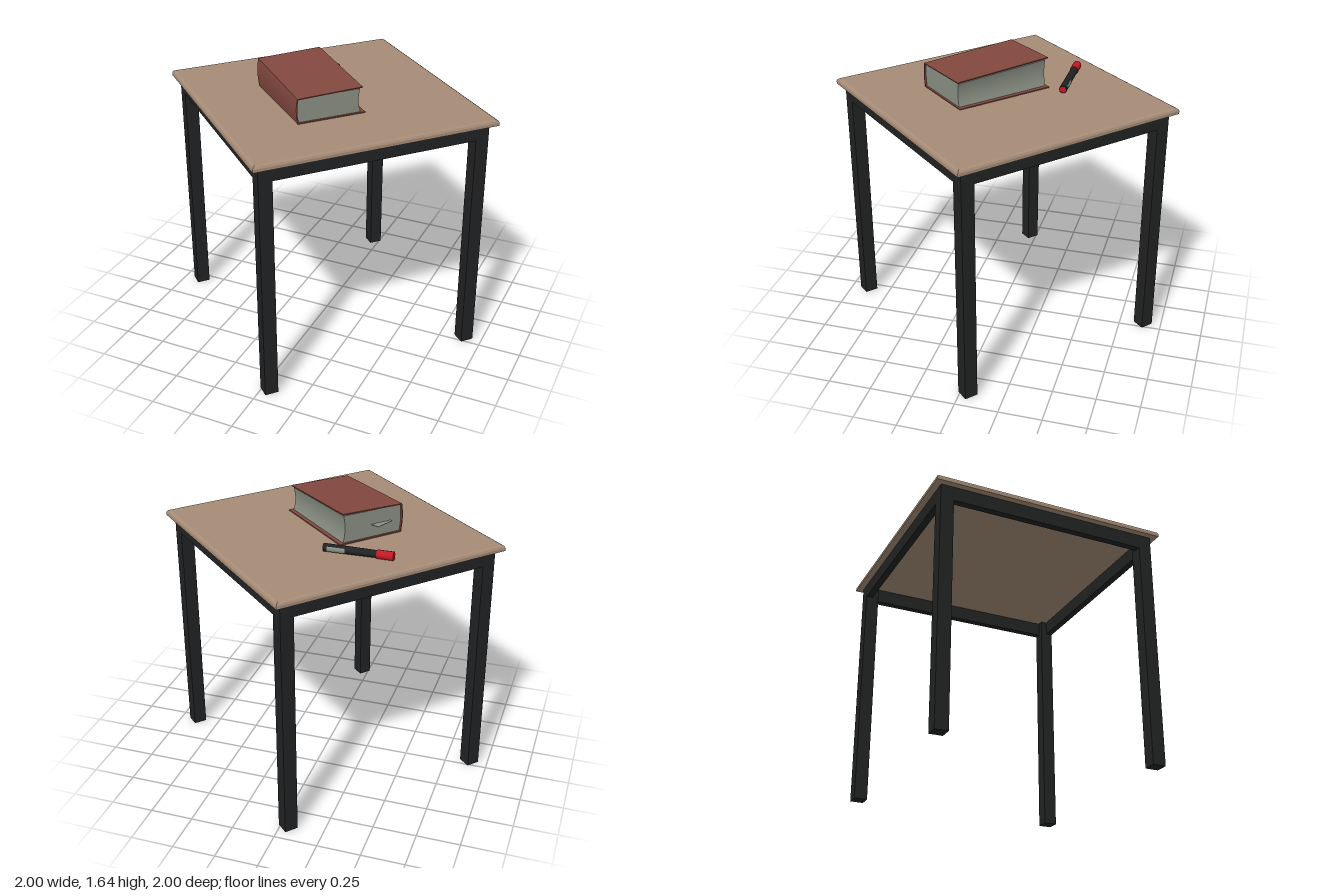
import * as THREE from 'three';
import { toCreasedNormals } from 'three/addons/utils/BufferGeometryUtils.js';

const mat = (name, color) => {
  const m = new THREE.MeshStandardMaterial({ color });
  m.name = name;
  return m;
};

export function createModel() {
  const wood = mat('wood', 0xa68c77);
  const black = mat('black', 0x212223);
  const leather = mat('red cover', 0x82483f);
  const paper = mat('paper', 0x8a9084);
  const red = mat('bright red', 0xc41a26);

  const add = (parent, name, geo, material, x = 0, y = 0, z = 0) => {
    const mesh = new THREE.Mesh(geo, material);
    mesh.name = name;
    mesh.position.set(x, y, z);
    parent.add(mesh);
    return mesh;
  };
  const group = (parent, name) => {
    const g = new THREE.Group();
    g.name = name;
    parent.add(g);
    return g;
  };

  const model = new THREE.Group();
  model.name = 'deskWithBook';

  // Table top: four-sided lathe with a softened upper edge
  const profile = [[0, 1.425], [1, 1.425], [1, 1.443], [0.992, 1.454], [0.976, 1.46], [0, 1.46]];
  const topGeo = new THREE.LatheGeometry(profile.map(([r, y]) => new THREE.Vector2(r, y)), 4);
  add(model, 'tableTop', toCreasedNormals(topGeo, 0.2), wood).rotation.y = 0.05;

  // Frame: four square legs joined by four rails
  const frame = group(model, 'frame');
  frame.rotation.y = -0.7355;
  const c = 0.63, s = 0.078, rail = 0.04;
  for (const x of [-c, c])
    for (const z of [-c, c])
      add(frame, 'leg', new THREE.BoxGeometry(s, 1.425, s), black, x, 0.7125, z);
  for (const side of [-1, 1]) {
    const off = side * (c + s / 2 - rail / 2), len = 2 * c - s;
    add(frame, 'rail', new THREE.BoxGeometry(len, 0.085, rail), black, 0, 1.3825, off);
    add(frame, 'rail', new THREE.BoxGeometry(rail, 0.085, len), black, off, 1.3825, 0);
  }

  // Book: cross-sections run from spine (-x) to fore-edge (+x), length along z
  const book = group(model, 'book');
  book.position.set(-0.055, 1.46, 0.11);
  book.rotation.y = 0.835;
  const bookPart = (name, shape, length, material) => {
    const geo = new THREE.ExtrudeGeometry(shape, { depth: length, bevelEnabled: false, curveSegments: 8 });
    geo.translate(0, 0, -length / 2);
    // The upper part sinks towards one end
    const p = geo.attributes.position;
    for (let i = 0; i < p.count; i++) p.setY(i, p.getY(i) * (1 - 0.26 * p.getZ(i)));
    return add(book, name, toCreasedNormals(geo, 0.5), material);
  };

  const cover = new THREE.Shape();
  cover.moveTo(0.203, 0);
  cover.lineTo(-0.194, 0);
  cover.quadraticCurveTo(-0.212, 0.078, -0.196, 0.157);
  cover.lineTo(0.185, 0.168);
  cover.lineTo(0.185, 0.162);
  cover.lineTo(-0.190, 0.151);
  cover.quadraticCurveTo(-0.206, 0.078, -0.188, 0.006);
  cover.lineTo(0.203, 0.006);
  bookPart('cover', cover, 0.594, leather);

  const pages = new THREE.Shape();
  pages.moveTo(0.178, 0.006);
  pages.quadraticCurveTo(0.155, 0.078, 0.175, 0.153);
  pages.lineTo(-0.190, 0.149);
  pages.quadraticCurveTo(-0.204, 0.078, -0.188, 0.006);
  bookPart('pages', pages, 0.572, paper);

  // Loose sheet poking out of one end
  const sheet = new THREE.Shape([[-0.13, -0.28], [-0.13, -0.3], [-0.015, -0.335], [0, -0.27]]
    .map(([x, y]) => new THREE.Vector2(x, y)));
  const sheetGeo = new THREE.ExtrudeGeometry(sheet, { depth: 0.003, bevelEnabled: false });
  sheetGeo.rotateX(Math.PI / 2);
  add(book, 'looseSheet', sheetGeo, paper, 0, 0.08, 0);

  // Marker pen lying along x
  const pen = group(model, 'marker');
  pen.position.set(0, 1.485, -0.335);
  const rod = (name, x0, x1, r0, r1, material) => {
    const geo = new THREE.CylinderGeometry(r1, r0, x1 - x0, 12);
    geo.rotateZ(-Math.PI / 2);
    return add(pen, name, toCreasedNormals(geo, 0.7), material, (x0 + x1) / 2, 0, 0);
  };
  rod('cap', -0.468, -0.375, 0.025, 0.025, red);
  rod('barrel', -0.375, -0.076, 0.021, 0.023, black);
  rod('endPlug', -0.08, -0.074, 0.018, 0.018, red);

  // Pale label wrapped round the back of the barrel
  const label = new THREE.CylinderGeometry(0.0235, 0.0235, 0.1, 6, 1, true, Math.PI * 0.75, Math.PI * 0.4);
  label.rotateZ(-Math.PI / 2);
  label.rotateX(Math.PI * 0.05);
  add(pen, 'label', label, paper, -0.15, 0, 0);

  return model;
}
